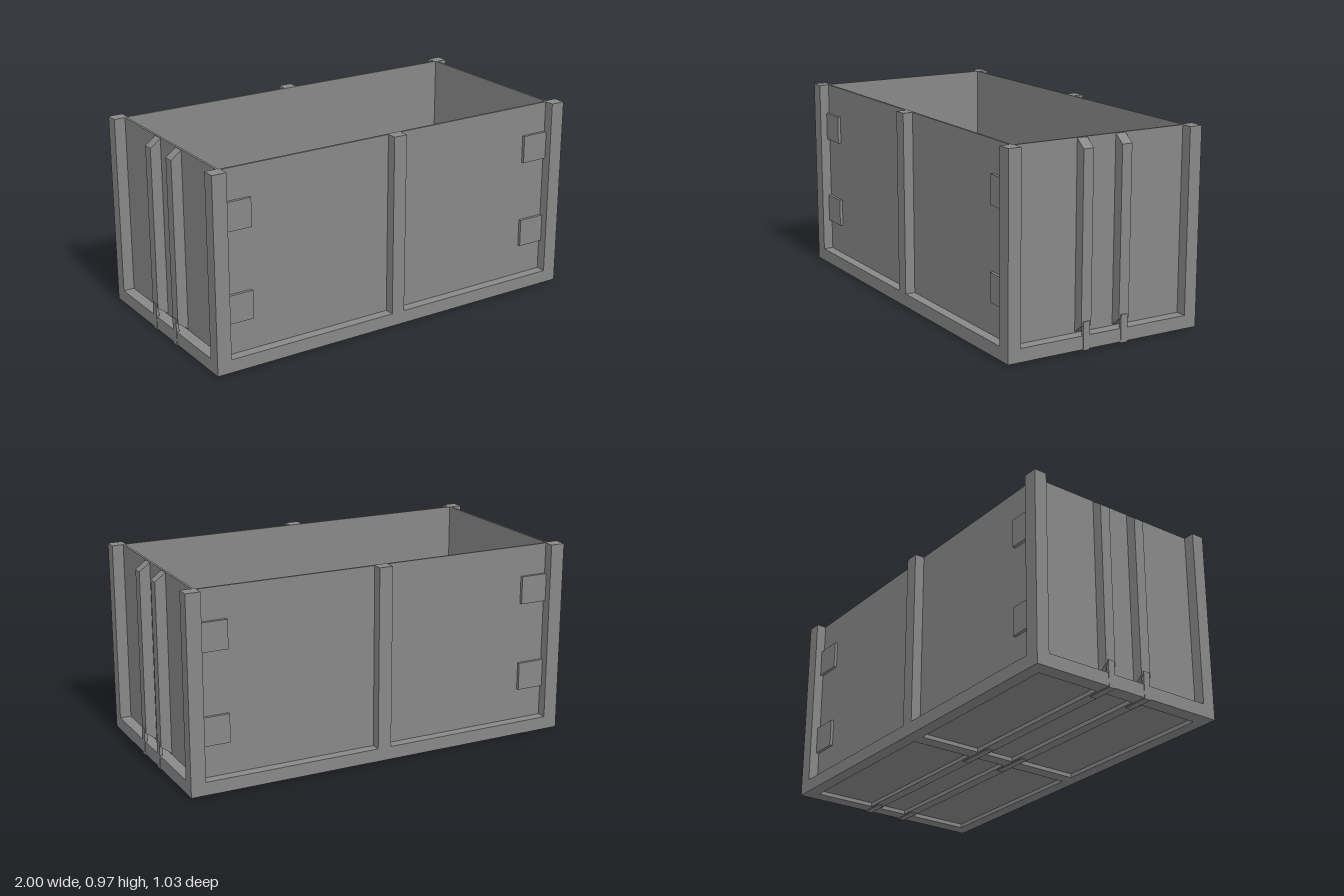
import * as THREE from 'three';

const material = new THREE.MeshStandardMaterial({ color: 0x888888, flatShading: true });

// Outer frame limits and wall planes
const X = 0.998, Z = 0.515, BASE = 0.005, TOP = 0.968, SILL = 0.07;
const WALL_X = 0.942, WALL_Z = 0.465, T = 0.011;
// Inner faces of the frame members and the underside of the floor
const FRAME_X = 0.925, FRAME_Z = 0.45, FLOOR = 0.025;

// Box given by its limits on each axis
function box(parent, name, [x0, x1], [y0, y1], [z0, z1]) {
  const mesh = new THREE.Mesh(new THREE.BoxGeometry(x1 - x0, y1 - y0, z1 - z0), material);
  mesh.position.set((x0 + x1) / 2, (y0 + y1) / 2, (z0 + z1) / 2);
  mesh.name = name;
  parent.add(mesh);
}

// Range from a to b, mirrored when s is -1
const side = (s, a, b) => (s > 0 ? [a, b] : [-b, -a]);

// Profile in the x-y plane, extruded along z around a centre
function extrude(name, points, width, z) {
  const shape = new THREE.Shape(points.map(([x, y]) => new THREE.Vector2(x, y)));
  const geometry = new THREE.ExtrudeGeometry(shape, { depth: width, bevelEnabled: false });
  geometry.translate(0, 0, z - width / 2);
  const mesh = new THREE.Mesh(geometry, material);
  mesh.name = name;
  return mesh;
}

export function createModel() {
  const model = new THREE.Group();
  model.name = 'openContainer';

  // Floor and thin walls
  box(model, 'floor', [-WALL_X, WALL_X], [FLOOR, SILL], [-WALL_Z, WALL_Z]);
  for (const s of [1, -1]) {
    box(model, 'longWall', [-WALL_X, WALL_X], [SILL, TOP], side(s, WALL_Z - T, WALL_Z));
    box(model, 'endWall', side(s, WALL_X - T, WALL_X), [SILL, TOP], [-WALL_Z + T, WALL_Z - T]);
  }

  // Base frame with shallow recessed panels underneath
  for (const s of [1, -1]) {
    box(model, 'longSill', [-X, X], [BASE, SILL], side(s, FRAME_Z, Z));
    box(model, 'endSill', side(s, FRAME_X, X), [BASE, SILL], [-FRAME_Z, FRAME_Z]);
    box(model, 'floorBeam', [-FRAME_X, FRAME_X], [BASE, FLOOR], side(s, 0.077, 0.13));
  }
  box(model, 'crossBeam', [-0.035, 0.035], [BASE, FLOOR], [-FRAME_Z, FRAME_Z]);

  // Posts and wall plates on the long sides, corner posts wrapping both walls
  for (const sz of [1, -1]) {
    box(model, 'middlePost', [-0.035, 0.035], [SILL, TOP], side(sz, WALL_Z, Z));
    for (const sx of [1, -1]) {
      box(model, 'cornerPost', side(sx, FRAME_X, X), [SILL, TOP], side(sz, WALL_Z, Z));
      box(model, 'cornerPostReturn', side(sx, WALL_X, X), [SILL, TOP], side(sz, FRAME_Z, WALL_Z));
      for (const y of [0.297, 0.745])
        box(model, 'wallPlate', side(sx, 0.785, FRAME_X), [y - 0.07, y + 0.07], side(sz, WALL_Z, 0.48));
    }
  }

  // End ribs with slanted tips, each held by a strap wrapping under the base
  const rib = [[WALL_X, 0.075], [0.995, 0.115], [0.995, 0.925], [WALL_X, 0.965]];
  const strap = [[0.87, 0], [1, 0], [1, 0.135], [0.985, 0.135], [0.985, 0.012], [0.87, 0.012]];
  for (const angle of [0, Math.PI]) {
    const end = new THREE.Group();
    end.name = 'endRibs';
    end.rotation.y = angle;
    for (const z of [0.103, -0.103]) {
      end.add(extrude('rib', rib, 0.053, z));
      end.add(extrude('strap', strap, 0.035, z));
    }
    model.add(end);
  }

  // Short straps under the beam crossings
  for (const s of [1, -1])
    box(model, 'crossingStrap', [-0.1, 0.1], [0, 0.012], side(s, 0.0855, 0.1205));

  return model;
}
